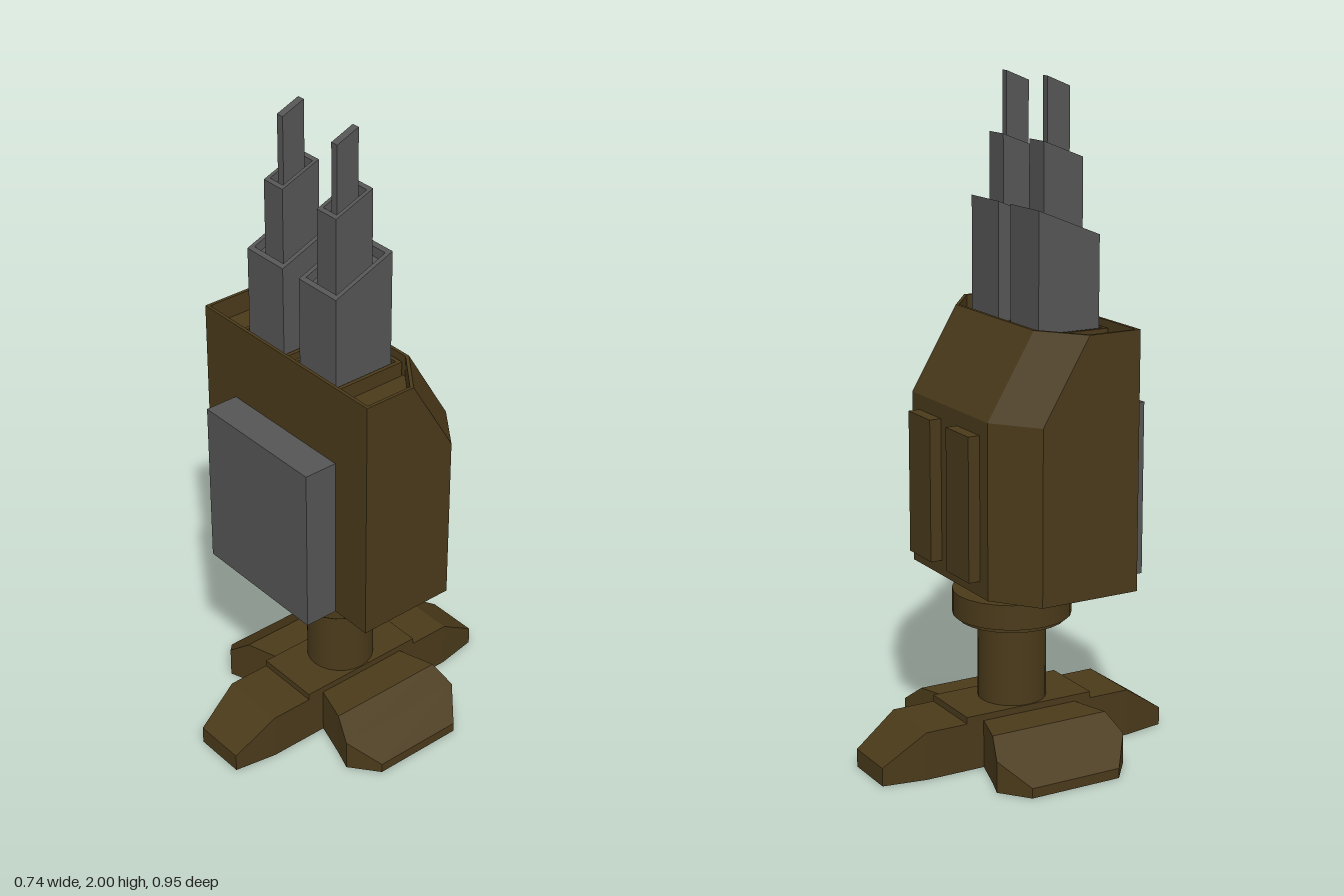
import * as THREE from 'three';

const brown = new THREE.MeshStandardMaterial({ color: 0x4a3a1a });
const grey = new THREE.MeshStandardMaterial({ color: 0x555555 });

// Flat-faced solid through a list of rings (counter-clockwise about the loft direction), capped at both ends
function loft(rings) {
  const pos = [];
  const tri = (a, b, c) => pos.push(...a, ...b, ...c);
  const n = rings[0].length;
  for (let r = 0; r < rings.length - 1; r++) {
    for (let i = 0; i < n; i++) {
      const j = (i + 1) % n, a = rings[r], b = rings[r + 1];
      tri(a[i], a[j], b[j]);
      tri(a[i], b[j], b[i]);
    }
  }
  const first = rings[0], last = rings[rings.length - 1];
  for (let i = 1; i < n - 1; i++) {
    tri(first[0], first[i + 1], first[i]);
    tri(last[0], last[i], last[i + 1]);
  }
  const geo = new THREE.BufferGeometry();
  geo.setAttribute('position', new THREE.Float32BufferAttribute(pos, 3));
  geo.computeVertexNormals();
  return geo;
}

function add(parent, name, geo, mat, x = 0, y = 0, z = 0) {
  const mesh = new THREE.Mesh(geo, mat);
  mesh.name = name;
  mesh.position.set(x, y, z);
  parent.add(mesh);
  return mesh;
}

// Box given by its limits on each axis
function addBox(parent, name, mat, [x0, x1], [y0, y1], [z0, z1]) {
  return add(parent, name, new THREE.BoxGeometry(x1 - x0, y1 - y0, z1 - z0), mat,
    (x0 + x1) / 2, (y0 + y1) / 2, (z0 + z1) / 2);
}

// Foot along +z from sections [distance, half width, height]
const foot = (sections) => loft(sections.map(([d, w, h]) =>
  [[w, 0, d], [w, h, d], [-w, h, d], [-w, 0, d]]));

// Plan of the housing: straight front, chamfered back corners
const plan = (y, w, wBack, front, corner, back) => [
  [w, y, front], [w, y, corner], [wBack, y, back],
  [-wBack, y, back], [-w, y, corner], [-w, y, front]];

// Rectangle whose height differs between front and back
const rect = (w, front, back, yFront, yBack) => [
  [w, yFront, front], [w, yBack, back], [-w, yBack, back], [-w, yFront, front]];

// Square sleeve with a slanted, slightly hollow top
function sleeve(w, front, back, y0, yFront, yBack, wall, depth) {
  const s = (yBack - yFront) / (front - back) * wall;
  const inner = (d) => rect(w - wall, front - wall, back + wall, yFront + s - d, yBack - s - d);
  return loft([rect(w, front, back, y0, y0), rect(w, front, back, yFront, yBack), inner(0), inner(depth)]);
}

export function createModel() {
  const model = new THREE.Group();
  model.name = 'launcher';

  // Four-footed base
  const base = new THREE.Group();
  base.name = 'base';
  model.add(base);
  const longFoot = foot([[0, 0.105, 0.145], [0.343, 0.105, 0.145], [0.475, 0.083, 0.055]]);
  const wideFoot = foot([[0, 0.155, 0.145], [0.105, 0.155, 0.145], [0.22, 0.19, 0.145],
    [0.285, 0.213, 0.095], [0.37, 0.145, 0.03]]);
  for (let i = 0; i < 4; i++) {
    const wide = i % 2 === 1;
    add(base, wide ? 'sideFoot' : 'longFoot', wide ? wideFoot : longFoot, brown).rotation.y = i * Math.PI / 2;
  }
  addBox(base, 'hub', brown, [-0.105, 0.105], [0, 0.165], [-0.21, 0.21]);

  // Column and collar
  add(model, 'column', new THREE.CylinderGeometry(0.102, 0.102, 0.27, 24), brown, 0, 0.295, 0);
  add(model, 'collarLip', new THREE.CylinderGeometry(0.162, 0.162, 0.02, 24), brown, 0, 0.422, 0);
  add(model, 'collar', new THREE.CylinderGeometry(0.177, 0.177, 0.075, 24), brown, 0, 0.4625, 0);

  // Housing, recessed above and below
  add(model, 'housing', loft([
    plan(0.6, 0.335, 0.215, 0.185, -0.095, -0.185),
    plan(0.555, 0.335, 0.215, 0.185, -0.095, -0.185),
    plan(0.555, 0.358, 0.225, 0.205, -0.107, -0.207),
    plan(1.07, 0.358, 0.225, 0.205, -0.107, -0.207),
    plan(1.315, 0.358, 0.225, 0.205, 0.04, -0.06),
    plan(1.315, 0.348, 0.222, 0.195, 0.045, -0.05),
    plan(1.25, 0.348, 0.222, 0.195, 0.045, -0.05),
  ]), brown);

  // Front plate
  addBox(model, 'frontPlate', grey, [-0.225, 0.225], [0.555, 1.07], [0.2, 0.309]);

  // Paired back panels, tube frames and telescoping tubes
  for (const side of [-1, 1]) {
    const panelX = side * 0.114;
    addBox(model, 'backPanel', brown, [panelX - 0.066, panelX + 0.066], [0.6, 1.025], [-0.243, -0.2]);

    const tube = new THREE.Group();
    tube.name = 'tube';
    tube.position.x = side * 0.113;
    model.add(tube);
    add(tube, 'tubeFrame', sleeve(0.1, 0.19, -0.045, 1.245, 1.295, 1.295, 0.012, 0.03), brown);
    add(tube, 'lowerSleeve', sleeve(0.078, 0.174, -0.024, 1.24, 1.56, 1.64, 0.014, 0.03), grey);
    add(tube, 'middleSleeve', sleeve(0.04, 0.141, 0.014, 1.53, 1.775, 1.825, 0.012, 0.03), grey);
    add(tube, 'tip', loft([rect(0.012, 0.114, 0.041, 1.74, 1.74), rect(0.012, 0.114, 0.041, 1.97, 2)]), grey);
  }
  return model;
}
